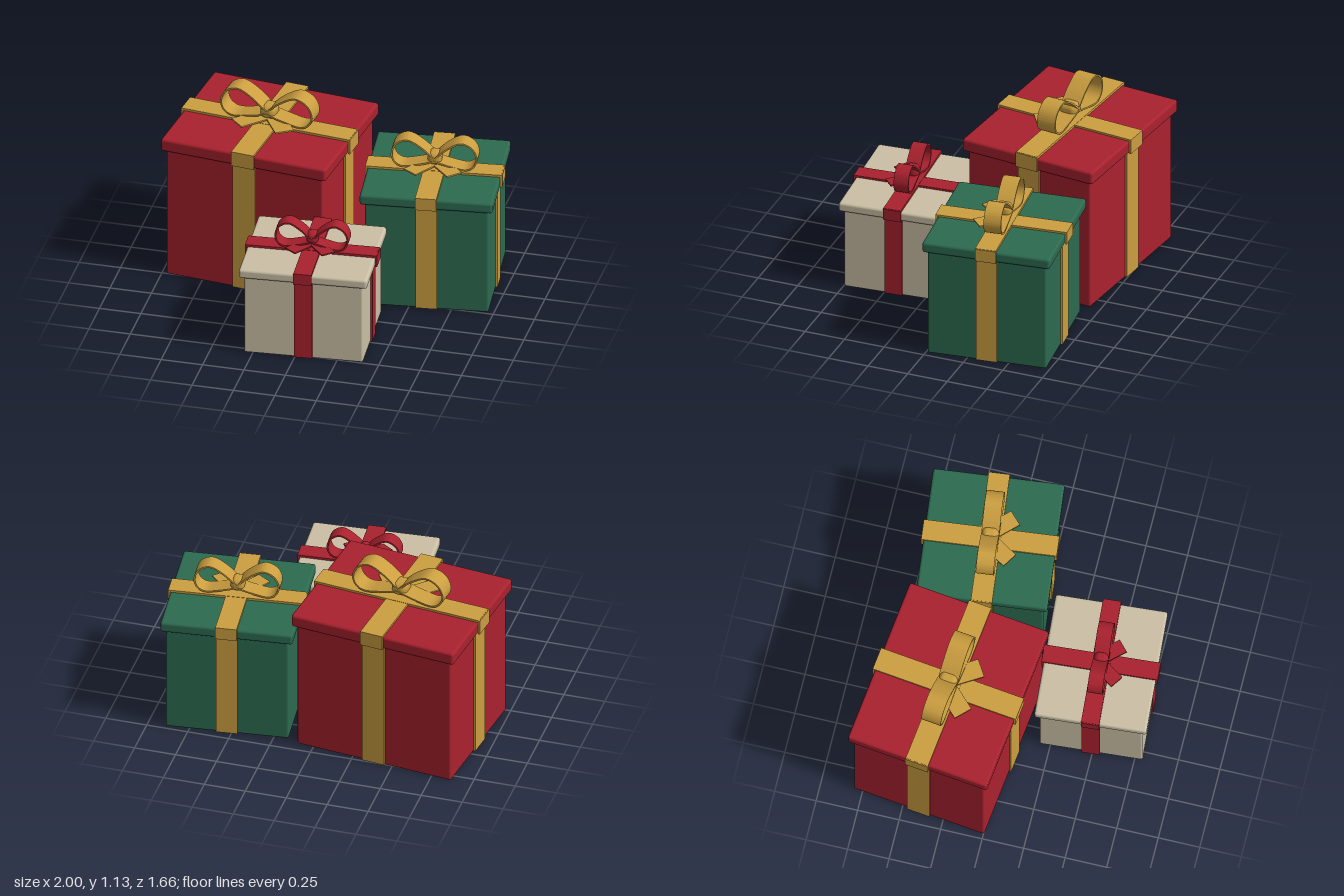
import * as THREE from 'three';
import { RoundedBoxGeometry } from 'three/addons/geometries/RoundedBoxGeometry.js';

function makeMaterial(name, color) {
  const m = new THREE.MeshStandardMaterial({ color });
  m.name = name;
  return m;
}

function add(parent, name, geometry, material, x = 0, y = 0, z = 0) {
  const mesh = new THREE.Mesh(geometry, material);
  mesh.name = name;
  mesh.position.set(x, y, z);
  parent.add(mesh);
  return mesh;
}

// Flat band bent along a teardrop curve, extruded to the ribbon width
function loopGeometry(side, reach, height, width) {
  const profile = [
    [0, 0.4], [0.3, 0.76], [0.64, 0.985], [0.9, 0.83], [1, 0.5],
    [0.93, 0.24], [0.76, 0.12], [0.4, 0.19], [0, 0.33],
  ];
  const curve = new THREE.CatmullRomCurve3(
    profile.map(([x, y]) => new THREE.Vector3(side * x * reach, y * height, 0)));
  const outer = [], inner = [], n = 40, half = 0.005;
  for (let i = 0; i <= n; i++) {
    const p = curve.getPoint(i / n), t = curve.getTangent(i / n);
    outer.push(new THREE.Vector2(p.x - t.y * half, p.y + t.x * half));
    inner.push(new THREE.Vector2(p.x + t.y * half, p.y - t.x * half));
  }
  const shape = new THREE.Shape([...outer, ...inner.reverse()]);
  const geometry = new THREE.ExtrudeGeometry(shape, { depth: width, bevelEnabled: false, steps: 1 });
  return geometry.translate(0, 0, -width / 2);
}

// Bow: two loops, two flat tails and a knot
function makeBow(o, material) {
  const bow = new THREE.Group();
  bow.name = 'bow';
  const s = o.reach / 0.285;
  for (const side of [1, -1]) {
    const label = side > 0 ? 'left' : 'right';
    add(bow, label + 'BowLoop', loopGeometry(side, o.reach, o.bowHeight, 0.12 * s), material);
    const tail = new THREE.BoxGeometry(0.114 * s, 0.009, 0.19 * s).translate(0, 0, 0.095 * s);
    const mesh = add(bow, label + 'BowTail', tail, material, side * 0.033 * s, 0.032 + side * 0.001, 0);
    mesh.rotation.y = side * 0.67;
  }
  add(bow, 'knot', new RoundedBoxGeometry(0.095 * s, 0.082, 0.115 * s, 4, 0.034), material, 0, 0.077, 0);
  return bow;
}

function makeGift(o) {
  const gift = new THREE.Group();
  gift.name = o.name;
  const { w, d, bodyHeight: h, top, band } = o;
  const lidH = top - h, bw = w - 0.055, bd = d - 0.055, t = 0.012;

  // Box and overhanging lid
  add(gift, 'body', new RoundedBoxGeometry(bw, h, bd, 3, 0.012), o.paper, 0, h / 2, 0);
  add(gift, 'lid', new RoundedBoxGeometry(w, lidH, d, 3, 0.016), o.paper, 0, h + lidH / 2, 0);

  // Ribbon down the four sides of the body and the lid
  for (const side of [1, -1]) {
    const bodyY = h / 2 + 0.002, bodyH = h - 0.006, lidY = h + lidH / 2 + t / 2;
    add(gift, 'bodyRibbon', new THREE.BoxGeometry(band, bodyH, t), o.ribbon, 0, bodyY, side * (bd / 2 + t / 2));
    add(gift, 'bodyRibbon', new THREE.BoxGeometry(t, bodyH, band), o.ribbon, side * (bw / 2 + t / 2), bodyY, 0);
    add(gift, 'lidSideRibbon', new THREE.BoxGeometry(band, lidH + t, t), o.ribbon, 0, lidY, side * (d / 2 + t / 2));
    add(gift, 'lidSideRibbon', new THREE.BoxGeometry(t, lidH + t, band), o.ribbon, side * (w / 2 + t / 2), lidY, 0);
  }

  // Crossed ribbon over the lid
  add(gift, 'lidRibbonLong', new THREE.BoxGeometry(w + t, t + 0.002, band), o.ribbon, 0, top + t / 2 + 0.001, 0);
  add(gift, 'lidRibbonShort', new THREE.BoxGeometry(band, t, d + t), o.ribbon, 0, top + t / 2, 0);

  const bow = makeBow(o, o.ribbon);
  bow.position.y = top;
  gift.add(bow);

  gift.position.set(o.x, 0, o.z);
  gift.rotation.y = o.turn;
  return gift;
}

export function createModel() {
  const red = makeMaterial('red', 0xa9212e);
  const green = makeMaterial('green', 0x2c6a50);
  const cream = makeMaterial('cream', 0xcbc0a5);
  const gold = makeMaterial('gold', 0xcb9e40);

  const model = new THREE.Group();
  model.name = 'giftBoxes';
  model.add(
    makeGift({
      name: 'largeGift', paper: red, ribbon: gold, x: -0.435, z: -0.341, turn: -0.122,
      w: 1.035, d: 0.87, bodyHeight: 0.834, top: 0.915, band: 0.14, reach: 0.285, bowHeight: 0.212,
    }),
    makeGift({
      name: 'mediumGift', paper: green, ribbon: gold, x: 0.566, z: -0.332, turn: 0.108,
      w: 0.787, d: 0.777, bodyHeight: 0.678, top: 0.745, band: 0.126, reach: 0.251, bowHeight: 0.2,
    }),
    makeGift({
      name: 'smallGift', paper: cream, ribbon: red, x: 0.029, z: 0.466, turn: 0.0715,
      w: 0.762, d: 0.666, bodyHeight: 0.508, top: 0.567, band: 0.108, reach: 0.215, bowHeight: 0.178,
    }),
  );
  return model;
}
